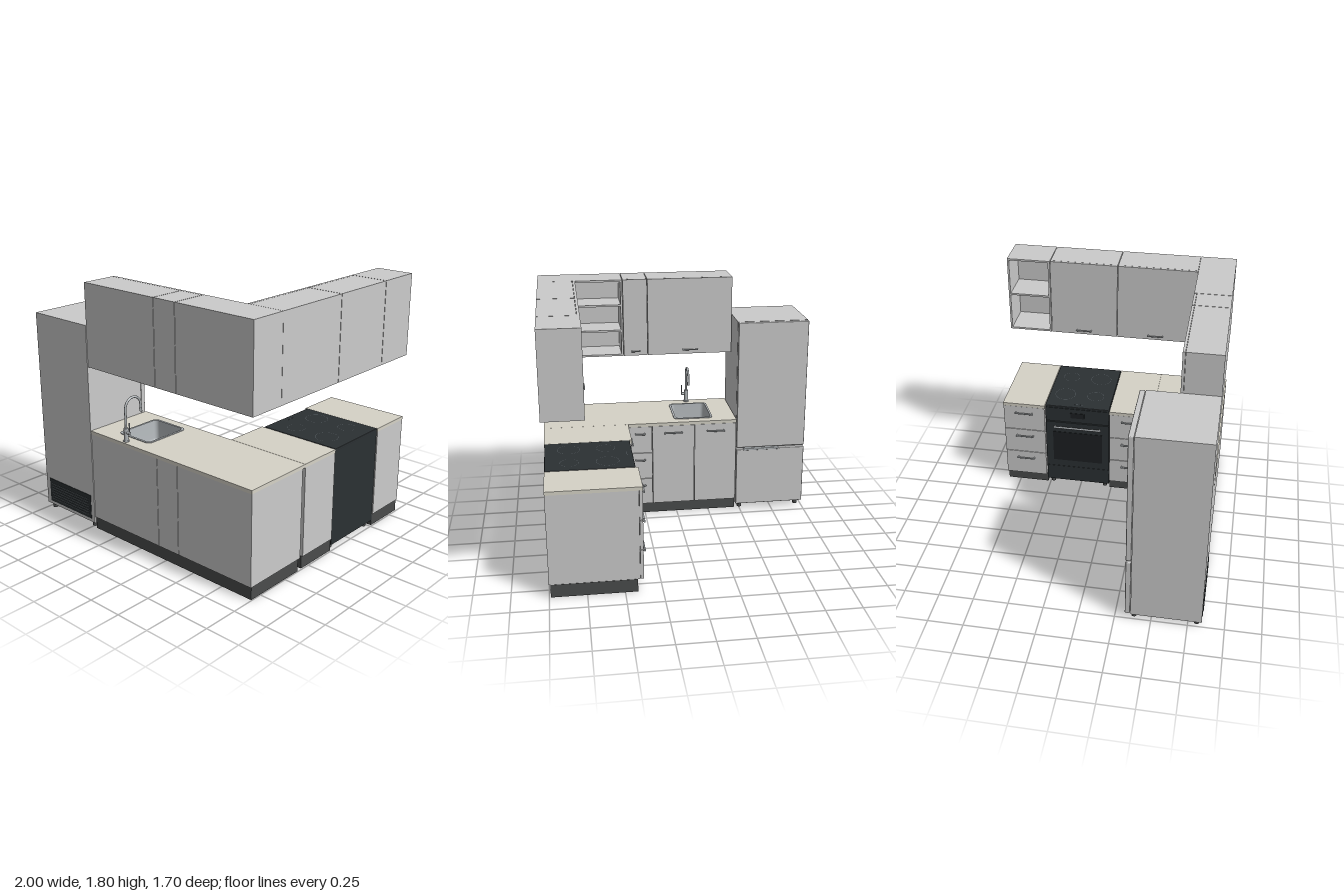
import * as THREE from 'three';
import { RoundedBoxGeometry } from 'three/addons/geometries/RoundedBoxGeometry.js';

const mat = (color) => new THREE.MeshStandardMaterial({ color });
const GREY = mat(0xcccccc), STONE = mat(0xd6d3c7), PLINTH = mat(0x4a4c4c), BLACK = mat(0x2b3033);
const GLASS = mat(0x1c2022), STEEL = mat(0xb4b9bc), MARK = mat(0x555c60);

function add(parent, name, geo, material, x = 0, y = 0, z = 0) {
  const m = new THREE.Mesh(geo, material);
  m.name = name;
  m.position.set(x, y, z);
  parent.add(m);
  return m;
}

// Box given by its limits on each axis
function box(parent, name, [x0, x1], [y0, y1], [z0, z1], material = GREY, r = 0) {
  const s = [x1 - x0, y1 - y0, z1 - z0];
  const geo = r ? new RoundedBoxGeometry(...s, 2, r) : new THREE.BoxGeometry(...s);
  return add(parent, name, geo, material, (x0 + x1) / 2, (y0 + y1) / 2, (z0 + z1) / 2);
}

function group(parent, name) {
  const g = new THREE.Group();
  g.name = name;
  parent.add(g);
  return g;
}

// Horizontal bar handle standing off a front that faces -z
function handle(parent, x, y, z, w, r = 0.006) {
  const g = group(parent, 'handle');
  add(g, 'handleBar', new THREE.CylinderGeometry(r, r, w, 12).rotateZ(Math.PI / 2), STEEL, x, y, z - 0.018);
  for (const s of [-1, 1])
    add(g, 'handlePost', new THREE.CylinderGeometry(r * 0.8, r * 0.8, 0.02, 10).rotateX(Math.PI / 2), STEEL, x + s * (w / 2 - r), y, z - 0.009);
}

// Panels of a cabinet body, open to -z
function carcass(parent, [x0, x1], [y0, y1], [z0, z1], { top = true, shelves = 0 } = {}) {
  const t = 0.014;
  box(parent, 'sidePanel', [x0, x0 + t], [y0, y1], [z0, z1]);
  box(parent, 'sidePanel', [x1 - t, x1], [y0, y1], [z0, z1]);
  box(parent, 'bottomPanel', [x0 + t, x1 - t], [y0, y0 + t], [z0, z1]);
  box(parent, 'backPanel', [x0 + t, x1 - t], [y0 + t, y1], [z1 - t, z1]);
  if (top) box(parent, 'topPanel', [x0 + t, x1 - t], [y1 - t, y1], [z0, z1 - t]);
  for (let i = 1; i <= shelves; i++) {
    const y = y0 + (y1 - y0) * i / (shelves + 1);
    box(parent, 'shelf', [x0 + t, x1 - t], [y - t / 2, y + t / 2], [z0 + 0.005, z1 - t]);
  }
}

const BASE = [0.092, 0.73], WALL = [1.22, 1.805], G = 0.002;

// Base unit with a grid of fronts, each with a handle near its top
function baseUnit(parent, name, [x0, x1], [z0, z1], { cols = 1, rows = 1, grip = 0.14, plinth = true } = {}) {
  const g = group(parent, name);
  carcass(g, [x0 + G, x1 - G], BASE, [z0 + 0.024, z1], { top: false });
  if (plinth) box(g, 'plinth', [x0, x1], [0, 0.092], [z0 + 0.04, z1 - 0.01], PLINTH);
  const w = (x1 - x0) / cols, h = (BASE[1] - BASE[0]) / rows;
  for (let c = 0; c < cols; c++) for (let r = 0; r < rows; r++) {
    const a = x0 + c * w, b = BASE[0] + r * h;
    box(g, rows > 1 ? 'drawerFront' : 'door', [a + G, a + w - G], [b + G, b + h - G], [z0, z0 + 0.022]);
    handle(g, a + w / 2, b + h - 0.055, z0, grip);
  }
  return g;
}

// Wall unit, with a door or with open shelves
function wallUnit(parent, name, [x0, x1], [z0, z1], { grip = 0.12, shelves = 0 } = {}) {
  const g = group(parent, name), t = shelves ? 0 : 0.02;
  carcass(g, [x0 + G, x1 - G], WALL, [z0 + t, z1], { shelves });
  if (shelves) return;
  box(g, 'wallDoor', [x0 + G, x1 - G], WALL, [z0, z0 + t - G]);
  handle(g, (x0 + x1) / 2, WALL[0] + 0.035, z0, grip, 0.005);
}

// Rounded rectangle; v is the negated z so that it lies flat after rotateX(-90)
function roundRect(shape, x0, x1, v0, v1, r) {
  shape.moveTo(x0 + r, v0).lineTo(x1 - r, v0).absarc(x1 - r, v0 + r, r, -Math.PI / 2, 0);
  shape.lineTo(x1, v1 - r).absarc(x1 - r, v1 - r, r, 0, Math.PI / 2);
  shape.lineTo(x0 + r, v1).absarc(x0 + r, v1 - r, r, Math.PI / 2, Math.PI);
  shape.lineTo(x0, v0 + r).absarc(x0 + r, v0 + r, r, Math.PI, Math.PI * 1.5);
  return shape;
}
const flat = (shape, depth) => new THREE.ExtrudeGeometry(shape, { depth, bevelEnabled: false, curveSegments: 8 }).rotateX(-Math.PI / 2);

function sink(parent) {
  const g = group(parent, 'sink'), cx = -0.137, cz = 0.565;
  const ring = (hx, hz, r, S = THREE.Shape) => roundRect(new S(), cx - hx, cx + hx, -cz - hz, -cz + hz, r);
  const rim = ring(0.15, 0.18, 0.035);
  rim.holes.push(ring(0.135, 0.165, 0.03, THREE.Path));
  add(g, 'sinkRim', flat(rim, 0.005), STEEL, 0, 0.755, 0);
  // Basin lofted through shrinking rounded sections
  const sections = [[0.76, 0], [0.63, 0.008], [0.61, 0.014], [0.602, 0.03]], pos = [], idx = [];
  let n = 0;
  for (const [y, d] of sections) {
    const pts = ring(0.135 - d, 0.165 - d, 0.03).getPoints(6);
    n = pts.length;
    for (const p of pts) pos.push(p.x, y, -p.y);
  }
  for (let s = 0; s < sections.length - 1; s++) for (let i = 0; i < n; i++) {
    const a = s * n + i, b = s * n + (i + 1) % n;
    idx.push(a, b, a + n, b, b + n, a + n);
  }
  const geo = new THREE.BufferGeometry();
  geo.setAttribute('position', new THREE.Float32BufferAttribute(pos, 3));
  geo.setIndex(idx);
  geo.computeVertexNormals();
  const steel = mat(0xb4b9bc);
  steel.side = THREE.DoubleSide;
  add(g, 'sinkBasin', geo, steel);
  add(g, 'sinkFloor', flat(ring(0.106, 0.136, 0.028), 0.003), STEEL, 0, 0.6, 0);
  add(g, 'drain', new THREE.CylinderGeometry(0.025, 0.025, 0.006, 24), MARK, cx, 0.603, cz);
}

function tap(parent) {
  const g = group(parent, 'tap'), x = -0.137, z = 0.81, r = 0.07, pts = [];
  add(g, 'tapBase', new THREE.CylinderGeometry(0.022, 0.022, 0.008, 24), STEEL, x, 0.759, z);
  add(g, 'tapBody', new THREE.CylinderGeometry(0.016, 0.016, 0.09, 24), STEEL, x, 0.805, z);
  pts.push(new THREE.Vector3(x, 0.84, z), new THREE.Vector3(x, 0.92, z));
  for (let i = 0; i <= 8; i++) {
    const a = Math.PI * i / 8;
    pts.push(new THREE.Vector3(x, 0.983 + r * Math.sin(a), z - r + r * Math.cos(a)));
  }
  pts.push(new THREE.Vector3(x, 0.94, z - 2 * r));
  add(g, 'tapSpout', new THREE.TubeGeometry(new THREE.CatmullRomCurve3(pts), 48, 0.0085, 12), STEEL);
  add(g, 'tapNozzle', new THREE.CylinderGeometry(0.01, 0.01, 0.025, 16), STEEL, x, 0.947, z - 2 * r);
  add(g, 'tapPivot', new THREE.CylinderGeometry(0.011, 0.011, 0.035, 16).rotateZ(Math.PI / 2), STEEL, x + 0.02, 0.82, z);
  add(g, 'tapLever', new THREE.CylinderGeometry(0.004, 0.004, 0.075, 10), STEEL, x + 0.034, 0.855, z);
}

function feet(parent, xs, zs) {
  for (const x of xs) for (const z of zs)
    add(parent, 'foot', new THREE.CylinderGeometry(0.018, 0.018, 0.045, 16), PLINTH, x, 0.0225, z);
}

function fridge(parent) {
  const g = group(parent, 'fridge'), X = [-1, -0.465];
  box(g, 'fridgeBody', X, [0.04, 1.51], [0.36, 0.845]);
  box(g, 'freezerDoor', X, [0.045, 0.505], [0.32, 0.356], GREY, 0.006);
  box(g, 'fridgeDoor', X, [0.52, 1.51], [0.32, 0.356], GREY, 0.006);
  box(g, 'gripRecess', [-0.8, -0.52], [0.495, 0.512], [0.318, 0.35], STEEL, 0.004);
  box(g, 'ventPanel', [-0.96, -0.5], [0.065, 0.248], [0.84, 0.848], BLACK);
  for (let i = 0; i < 7; i++)
    box(g, 'ventSlat', [-0.935, -0.525], [0.087 + i * 0.02, 0.094 + i * 0.02], [0.846, 0.851], MARK);
  feet(g, [-0.96, -0.505], [0.38, 0.81]);
}

// Cooker in the turned frame of the side run
function cooker(parent) {
  const g = group(parent, 'cooker'), X = [0.016, 0.516];
  box(g, 'cookerBody', X, [0.042, 0.738], [0.41, 0.995], BLACK);
  box(g, 'hob', X, [0.738, 0.757], [0.39, 0.998], BLACK, 0.004);
  box(g, 'controlPanel', X, [0.615, 0.736], [0.392, 0.41], BLACK);
  box(g, 'display', [0.21, 0.32], [0.655, 0.7], [0.389, 0.392], GLASS);
  box(g, 'ovenDoor', X, [0.19, 0.61], [0.386, 0.41], BLACK);
  box(g, 'ovenWindow', [0.07, 0.46], [0.25, 0.52], [0.383, 0.386], GLASS);
  box(g, 'storageDrawer', X, [0.05, 0.185], [0.39, 0.41], BLACK);
  handle(g, 0.266, 0.57, 0.388, 0.37, 0.008);
  for (const [x, z, r] of [[0.39, 0.57, 0.08], [0.15, 0.57, 0.065], [0.39, 0.83, 0.065], [0.15, 0.83, 0.08]])
    add(g, 'burnerRing', new THREE.RingGeometry(r - 0.002, r, 40).rotateX(-Math.PI / 2), MARK, x, 0.758, z);
  box(g, 'touchControl', [0.23, 0.3], [0.757, 0.758], [0.428, 0.431], MARK);
  feet(g, [0.055, 0.48], [0.44, 0.95]);
}

export function createModel() {
  const model = new THREE.Group();
  model.name = 'cornerKitchen';

  // Long run, facing -z
  const run = group(model, 'longRun'), Z = [0.32, 0.845];
  fridge(run);
  baseUnit(run, 'sinkCabinet', [-0.46, 0.19], Z, { cols: 2 });
  baseUnit(run, 'narrowDrawers', [0.19, 0.375], Z, { rows: 3, grip: 0.08 });
  const corner = group(run, 'cornerCabinet');
  carcass(corner, [0.375 + G, 1], BASE, [0.344, 0.845], { top: false });
  box(corner, 'plinth', [0.375, 0.995], [0, 0.092], [0.36, 0.835], PLINTH);
  const top = new THREE.Shape([[-0.46, -0.845], [1, -0.845], [1, -0.318], [-0.46, -0.318]].map((p) => new THREE.Vector2(...p)));
  top.holes.push(roundRect(new THREE.Path(), -0.275, 0.001, -0.733, -0.397, 0.03));
  add(run, 'counterTop', flat(top, 0.025), STONE, 0, 0.73, 0);
  sink(run);
  tap(run);
  const WZ = [0.58, 0.845];
  wallUnit(run, 'wideWallUnit', [-0.46, 0.19], WZ);
  wallUnit(run, 'narrowWallUnit', [0.19, 0.375], WZ, { grip: 0.07 });
  wallUnit(run, 'cornerShelves', [0.375, 1 + G], WZ, { shelves: 2 });

  // Short run, built the same way and turned to face -x
  const side = group(model, 'shortRun');
  side.rotation.y = Math.PI / 2;
  for (const X of [[-0.317, 0.012], [0.52, 0.848]]) {
    baseUnit(side, 'drawerUnit', X, [0.375, 1], { rows: 3 });
    box(side, 'counterTop', X, [0.73, 0.755], [0.373, 1], STONE);
  }
  cooker(side);
  wallUnit(side, 'wallUnit', [-0.58, 0.01], [0.725, 1]);
  wallUnit(side, 'wallUnit', [0.01, 0.52], [0.725, 1]);
  wallUnit(side, 'openShelf', [0.52, 0.848], [0.725, 1], { shelves: 1 });
  return model;
}
